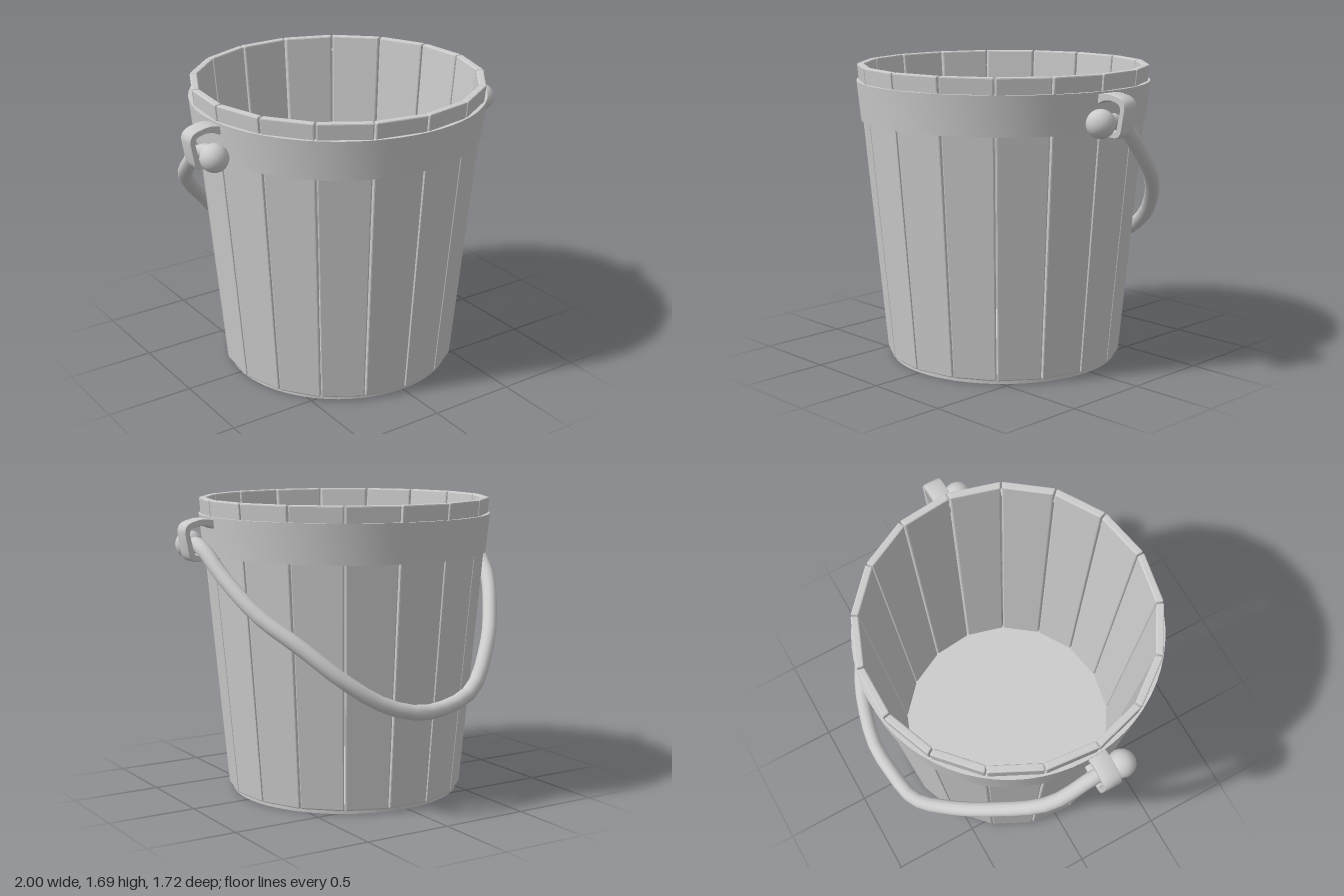
import * as THREE from 'three';
import { toCreasedNormals } from 'three/addons/utils/BufferGeometryUtils.js';
import { RoundedBoxGeometry } from 'three/addons/geometries/RoundedBoxGeometry.js';

const STAVES = 17, CENTRE_Z = 0.03;
const Y0 = 0.02, Y1 = 1.69, R0 = 0.678, R1 = 0.83, THICK = 0.042;

const V = (x, y, z) => new THREE.Vector3(x, y, z);

// Tapered, leaning stave: a bevelled box widened and pushed outward with height
function staveGeometry() {
  const h = Y1 - Y0, half = Math.PI / STAVES;
  const apothem = y => THREE.MathUtils.lerp(R0, R1, (y - Y0) / h) * Math.cos(half);
  const mid = apothem((Y0 + Y1) / 2);
  const geo = new RoundedBoxGeometry(2 * mid * Math.tan(half) - 0.007, h, THICK, 1, 0.008);
  const p = geo.attributes.position;
  for (let i = 0; i < p.count; i++) {
    const y = p.getY(i) + (Y0 + Y1) / 2;
    const r = apothem(y) + p.getZ(i) - THICK / 2;
    p.setXYZ(i, p.getX(i) * r / mid, y, r);
  }
  geo.computeVertexNormals();
  return geo;
}

// Bent strap that forms an ear on the band; s is the side (+1 left, -1 right)
function earGeometry(s) {
  const shape = new THREE.Shape();
  const M = (x, y) => shape.lineTo(s * x, y);
  const Q = (a, b, x, y) => shape.quadraticCurveTo(s * a, b, s * x, y);
  shape.moveTo(s * 0.79, 1.58);
  M(0.83, 1.585);
  Q(0.88, 1.6, 0.93, 1.585);
  Q(1.0, 1.575, 0.998, 1.52);
  M(0.978, 1.41);
  Q(0.97, 1.367, 0.93, 1.367);
  M(0.79, 1.372);
  M(0.79, 1.4);
  M(0.92, 1.395);
  Q(0.945, 1.395, 0.95, 1.42);
  M(0.97, 1.51);
  Q(0.975, 1.55, 0.92, 1.558);
  Q(0.87, 1.568, 0.83, 1.545);
  M(0.79, 1.53);
  shape.closePath();
  const geo = new THREE.ExtrudeGeometry(shape, {
    depth: 0.085, bevelEnabled: true, bevelSize: 0.004, bevelThickness: 0.008, bevelSegments: 1, curveSegments: 6,
  });
  geo.translate(0, 0, 0.05);
  return toCreasedNormals(geo, 0.6);
}

export function createModel() {
  const root = new THREE.Group();
  root.name = 'bucket';
  const mat = new THREE.MeshStandardMaterial({ color: 0xcccccc });
  const add = (parent, name, geo, x = 0, y = 0, z = 0) => {
    const mesh = new THREE.Mesh(geo, mat);
    mesh.name = name;
    mesh.position.set(x, y, z);
    parent.add(mesh);
    return mesh;
  };

  // Ring of staves, with a seam at the front
  const staves = new THREE.Group();
  staves.name = 'staves';
  staves.position.z = CENTRE_Z;
  root.add(staves);
  const staveGeo = staveGeometry();
  for (let i = 0; i < STAVES; i++) {
    add(staves, 'stave', staveGeo).rotation.y = (i + 0.5) * 2 * Math.PI / STAVES;
  }

  // Floor disc, standing slightly below the staves
  add(root, 'floor', new THREE.CylinderGeometry(0.655, 0.655, 0.055, 64), 0, 0.0275, CENTRE_Z);

  // Smooth hoop around the top
  const hoop = new THREE.LatheGeometry([
    new THREE.Vector2(0.77, 1.38), new THREE.Vector2(0.81, 1.38),
    new THREE.Vector2(0.832, 1.6), new THREE.Vector2(0.79, 1.6),
  ], 64);
  add(root, 'hoop', toCreasedNormals(hoop, 0.6), 0, 0, CENTRE_Z);

  // Ears and the end knobs of the handle
  for (const s of [1, -1]) {
    add(root, s > 0 ? 'leftEar' : 'rightEar', earGeometry(s));
    add(root, s > 0 ? 'leftKnob' : 'rightKnob', new THREE.SphereGeometry(0.078, 24, 16), s * 0.897, 1.445, 0.208);
  }

  // Slightly uneven handle hanging down behind the bucket
  const path = new THREE.CatmullRomCurve3([
    V(0.89, 1.45, 0.2), V(0.895, 1.44, 0.06), V(0.86, 1.29, -0.13), V(0.77, 1.1, -0.36),
    V(0.63, 0.95, -0.55), V(0.46, 0.78, -0.7), V(0.27, 0.65, -0.78), V(0.08, 0.59, -0.818),
    V(-0.1, 0.59, -0.808), V(-0.32, 0.66, -0.775), V(-0.53, 0.87, -0.635), V(-0.7, 1.04, -0.44),
    V(-0.86, 1.24, -0.19), V(-0.89, 1.44, 0.06), V(-0.89, 1.45, 0.2),
  ]);
  add(root, 'handle', new THREE.TubeGeometry(path, 36, 0.042, 12));

  return root;
}
